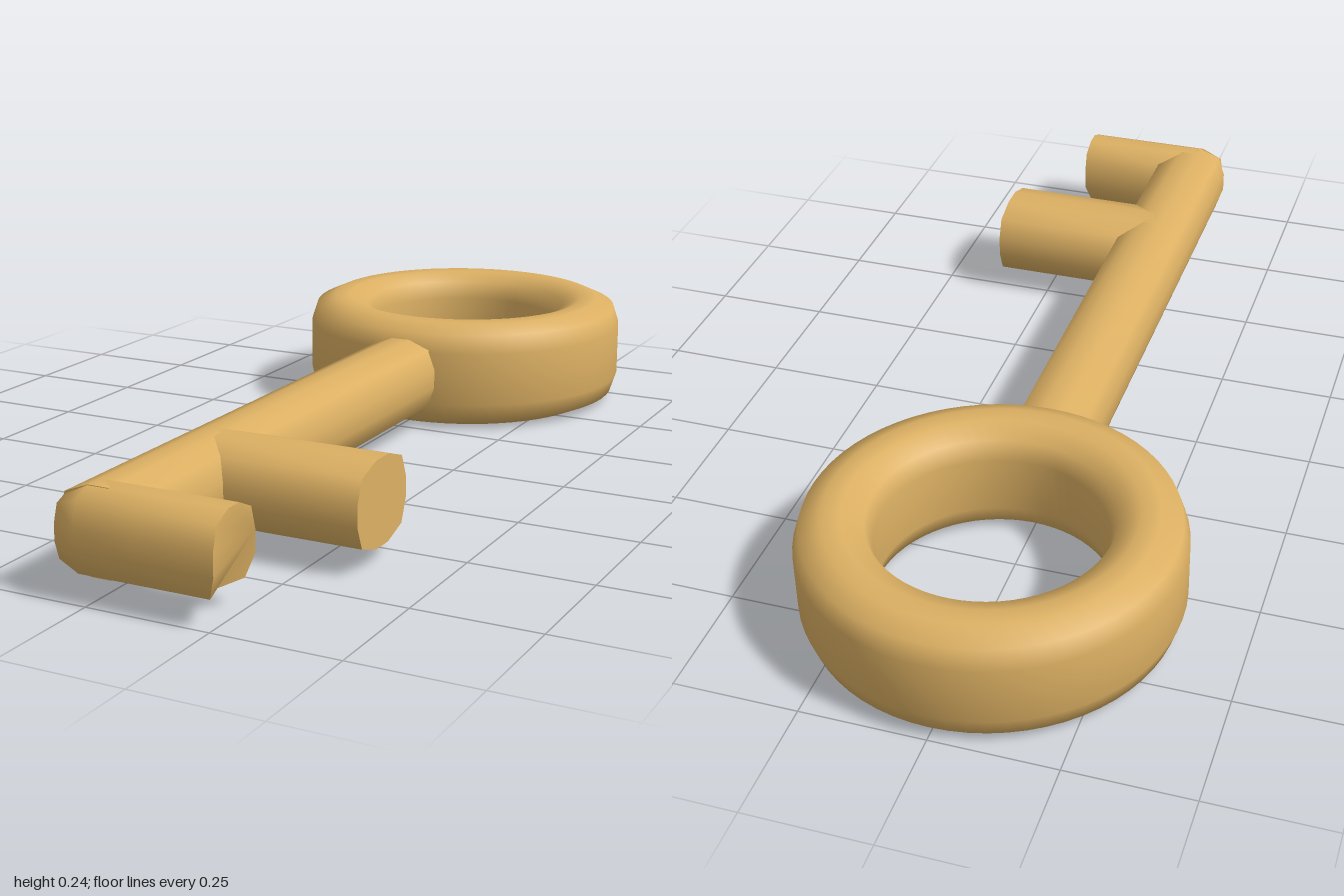
import * as THREE from 'three';

const MID = 0.12; // height of the key's centre plane
const material = new THREE.MeshStandardMaterial({ color: 0xdcb063 });

// Twelve-sided rounded section with half sizes w and h, counter-clockwise.
// flat is the share of the side walls that stays straight.
function section(w, h, flat = 0.25, shoulder = 0.78) {
  const corner = [[1, flat], [0.82, shoulder], [0.25, 1]];
  const back = [...corner].reverse();
  return [
    ...corner,
    ...back.map(([u, v]) => [-u, v]),
    ...corner.map(([u, v]) => [-u, -v]),
    ...back.map(([u, v]) => [u, -v]),
  ].map(([u, v]) => [u * w, v * h]);
}

// Smooth skin through the rings, with crisp caps at both ends.
function loft(rings) {
  const n = rings[0].length;
  const pos = rings.flat(2);
  const idx = [];
  for (let i = 0; i < rings.length - 1; i++) {
    for (let j = 0; j < n; j++) {
      const k = (j + 1) % n;
      const a = i * n + j, b = i * n + k, c = b + n, d = a + n;
      idx.push(a, b, c, a, c, d);
    }
  }
  [[rings[0], true], [rings[rings.length - 1], false]].forEach(([ring, flip]) => {
    const s = pos.length / 3;
    pos.push(...ring.flat());
    for (let j = 1; j < n - 1; j++) {
      idx.push(s, s + (flip ? j + 1 : j), s + (flip ? j : j + 1));
    }
  });
  const g = new THREE.BufferGeometry();
  g.setAttribute('position', new THREE.Float32BufferAttribute(pos, 3));
  g.setIndex(idx);
  g.computeVertexNormals();
  return g;
}

// Ring across the x axis, spanning z0 to z1
const ringX = (x, z0, z1, h) =>
  section((z1 - z0) / 2, h).map(([u, v]) => [x, MID + v, (z0 + z1) / 2 - u]);

export function createModel() {
  const key = new THREE.Group();
  key.name = 'key';
  const add = (name, geometry) => {
    const mesh = new THREE.Mesh(geometry, material);
    mesh.name = name;
    key.add(mesh);
    return mesh;
  };

  // Ring-shaped handle, its seam placed on the flat outer wall
  const outline = section(0.075, 0.12, 0.5, 0.84).map(([u, v]) => new THREE.Vector2(0.3 + u, v));
  const seam = new THREE.Vector2(0.375, 0);
  add('handleRing', new THREE.LatheGeometry([seam, ...outline, seam.clone()], 64))
    .position.set(0, MID, -0.625);

  // Shaft, its back end sunk into the handle
  add('shaft', loft([-0.29, 0.95].map((z) =>
    section(0.085, 0.085).map(([u, v]) => [u, MID + v, z]))));

  // Wide tooth
  add('wideTooth', loft([ringX(0, 0.475, 0.675, 0.085), ringX(0.362, 0.475, 0.675, 0.085)]));

  // Tip tooth: rounded around the shaft's corner, lower edge of its end trimmed
  const end = ringX(0.26, 0.86, 1, 0.085).map(([x, y, z]) =>
    [y < 0.04 ? 0.2 : y < 0.09 ? 0.245 : x, y, z]);
  add('tipTooth', loft([
    ringX(-0.085, 0.86, 0.95, 0.021),
    ringX(-0.07, 0.86, 0.985, 0.066),
    ringX(-0.021, 0.86, 1, 0.085),
    ringX(0.1, 0.86, 1, 0.085),
    end,
  ]));

  return key;
}
